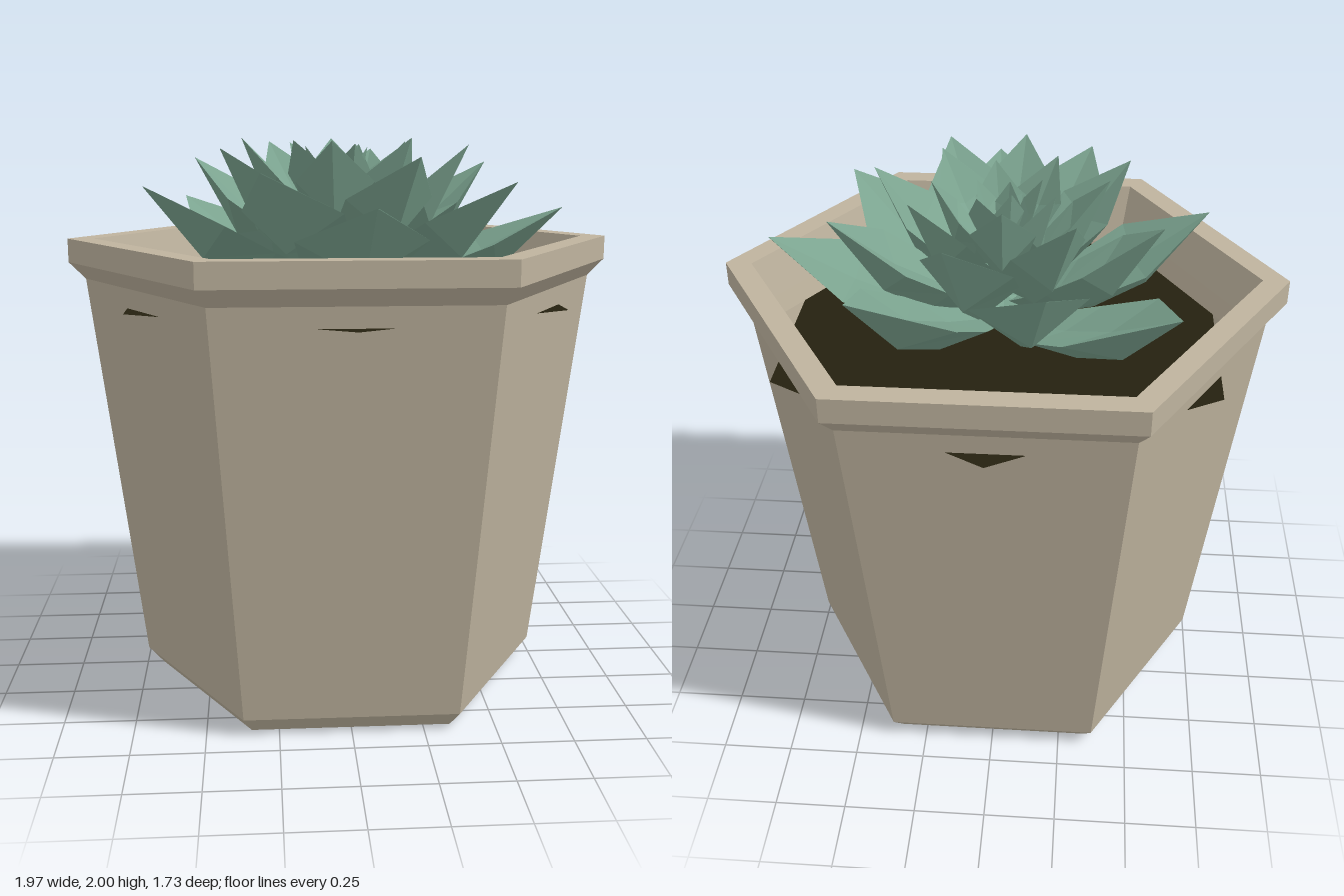
import * as THREE from 'three';

const paint = (name, color, extra = {}) => {
  const m = new THREE.MeshStandardMaterial({ color, flatShading: true, ...extra });
  m.name = name;
  return m;
};

// One pointed, cupped leaf: diamond cross-sections from base to tip.
// Each row is [radius, halfWidth, edgeY, topMidY, keelY]; the leaf grows along +x.
function leafGeometry(rows) {
  const pos = [], idx = [];
  for (const [r, w, edge, top, keel, keelR] of rows) {
    pos.push(r, edge, -w, r, top, 0, r, edge, w, keelR, keel, 0);
  }
  for (let i = 0; i < rows.length - 1; i++) {
    for (let j = 0; j < 4; j++) {
      const a = i * 4 + j, b = i * 4 + (j + 1) % 4;
      idx.push(a, b, a + 4, b, b + 4, a + 4);
    }
  }
  const g = new THREE.BufferGeometry();
  g.setAttribute('position', new THREE.Float32BufferAttribute(pos, 3));
  g.setIndex(idx);
  const flat = g.toNonIndexed();
  flat.computeVertexNormals();
  return flat;
}

export function createModel() {
  const model = new THREE.Group();
  model.name = 'pottedSucculent';
  const clay = paint('clay', 0xbeb39e);
  const earth = paint('darkSoil', 0x25210f, { side: THREE.DoubleSide });
  const green = paint('leafGreen', 0x7ba38f, { side: THREE.DoubleSide });

  // Hexagonal pot: outer wall, rim, inner wall and inner floor
  const profile = [
    [0, 0], [0.69, 0], [0.745, 0.06], [0.925, 1.5], [0.985, 1.56], [0.985, 1.645],
    [0.893, 1.645], [0.85, 1.5], [0.83, 1.43], [0.66, 0.1], [0, 0.1],
  ].map(([x, y]) => new THREE.Vector2(x, y));
  const pot = new THREE.Mesh(new THREE.LatheGeometry(profile, 6, Math.PI / 2), clay);
  pot.name = 'pot';
  model.add(pot);

  // Soil sheet, turned so its corners just pierce the pot walls
  const soilShape = new THREE.CircleGeometry(0.866, 6, Math.PI / 6).rotateX(-Math.PI / 2);
  const soil = new THREE.Mesh(soilShape, earth);
  soil.name = 'soil';
  soil.position.y = 1.43;
  model.add(soil);

  // Rosette: leaves spiral inwards by the golden angle, rising as they shrink
  const rosette = new THREE.Group();
  rosette.name = 'rosette';
  const golden = Math.PI * (3 - Math.sqrt(5));
  for (let n = 0; n < 29; n++) {
    const r = 0.82 - 0.0275 * n;
    const tipY = n < 18 ? 1.75 + 0.25 * Math.sin(n / 18 * Math.PI / 2) : 2 - 0.004 * (n - 18);
    const baseY = 1.42 + 0.012 * n;
    const h = tipY - baseY;
    const w = 0.035 + 0.25 * r;
    const leaf = new THREE.Mesh(leafGeometry([
      [0.08 * r, 0.3 * w, baseY + 0.04, baseY + 0.03, baseY, 0.1 * r],
      [0.38 * r, 0.8 * w, baseY + 0.38 * h, baseY + 0.3 * h, baseY + 0.06 * h, 0.45 * r],
      [0.64 * r, w, baseY + 0.65 * h, baseY + 0.54 * h, baseY + 0.3 * h, 0.71 * r],
      [r, 0.001, tipY, tipY, tipY - 0.002, r],
    ]), green);
    leaf.name = 'leaf';
    leaf.rotation.y = n * golden;
    rosette.add(leaf);
  }
  model.add(rosette);
  return model;
}
